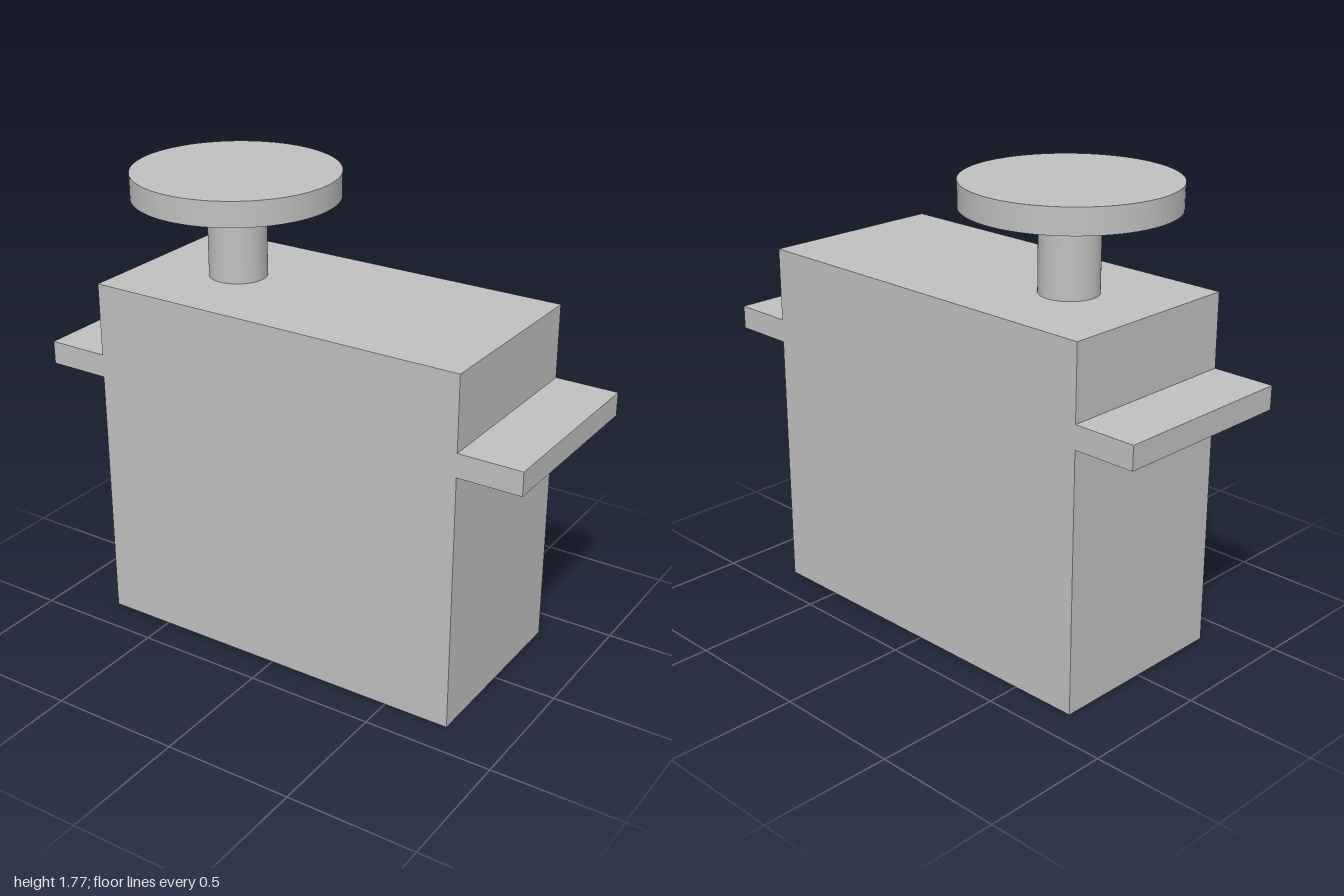
import * as THREE from 'three';

export function createModel() {
  const model = new THREE.Group();
  const grey = new THREE.MeshStandardMaterial({ color: 0xc0c0c0 });
  grey.name = 'plainGrey';

  const add = (name, geometry, x, y) => {
    const mesh = new THREE.Mesh(geometry, grey);
    mesh.name = name;
    mesh.position.set(x, y, 0);
    model.add(mesh);
  };

  const bodyWidth = 1.514, bodyHeight = 1.373, depth = 0.74;
  const tabWidth = (2 - bodyWidth) / 2, tabHeight = 0.09;

  // Motor case
  add('case', new THREE.BoxGeometry(bodyWidth, bodyHeight, depth), 0, bodyHeight / 2);

  // Mounting tabs on both ends
  for (const [name, side] of [['leftMountingTab', 1], ['rightMountingTab', -1]]) {
    add(name, new THREE.BoxGeometry(tabWidth, tabHeight, depth),
      side * (bodyWidth + tabWidth) / 2, 1.0 + tabHeight / 2);
  }

  // Output shaft and round horn, offset towards one end
  const shaftX = -0.388, hornBottom = 1.68, hornTop = 1.775;
  add('outputShaft',
    new THREE.CylinderGeometry(0.11, 0.11, hornBottom - bodyHeight, 64, 1, true),
    shaftX, (bodyHeight + hornBottom) / 2);
  add('hornDisc',
    new THREE.CylinderGeometry(0.388, 0.388, hornTop - hornBottom, 96),
    shaftX, (hornBottom + hornTop) / 2);

  return model;
}
